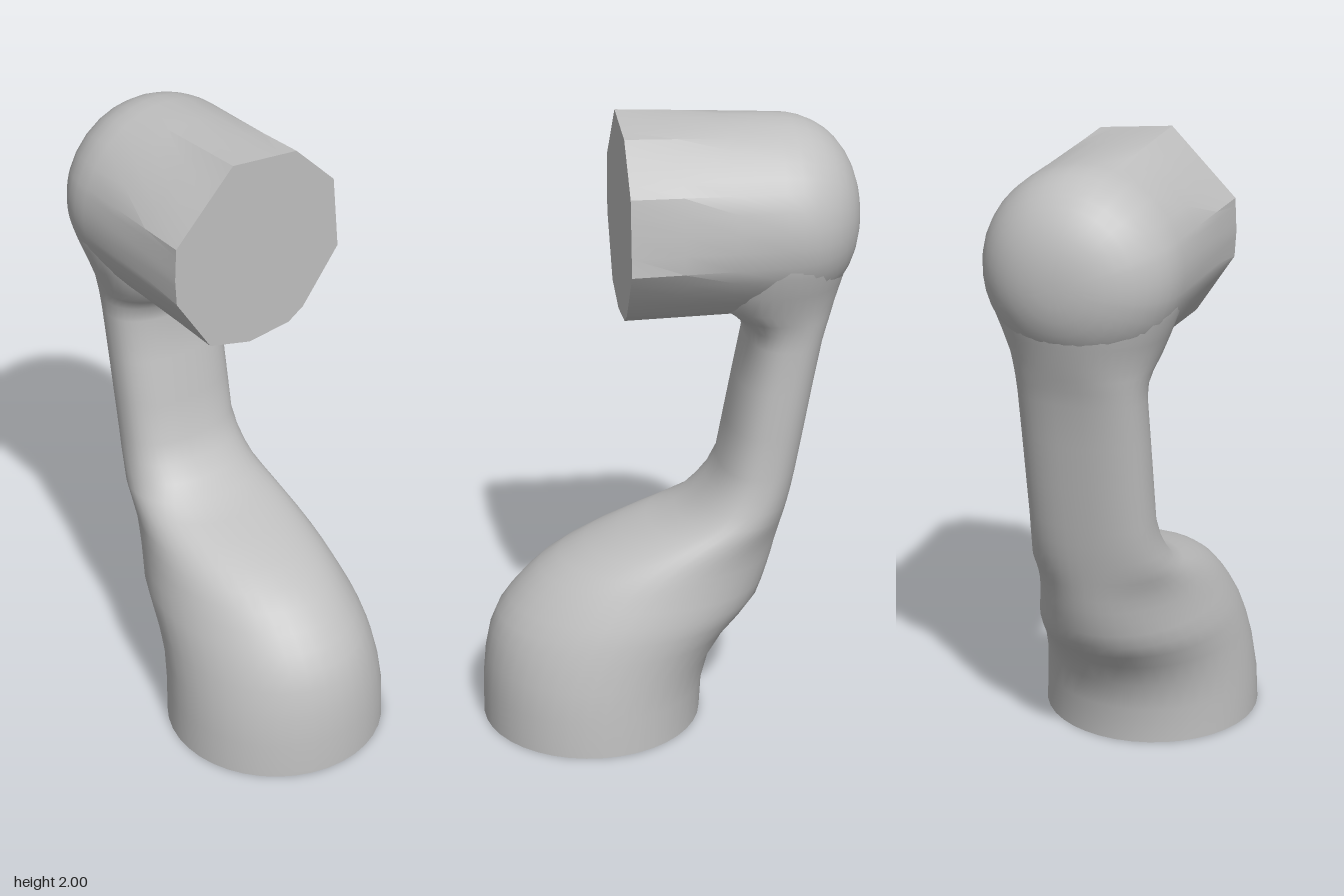
import * as THREE from 'three';
import { toCreasedNormals } from 'three/addons/utils/BufferGeometryUtils.js';

// Skin a list of closed rings (equal point counts) and cap both ends
function loft(rings, crease) {
  const n = rings[0].length, pos = [], idx = [];
  rings.forEach(r => r.forEach(p => pos.push(p.x, p.y, p.z)));
  for (let i = 0; i < rings.length - 1; i++) {
    for (let j = 0; j < n; j++) {
      const k = (j + 1) % n, a = i * n, b = a + n;
      idx.push(a + j, b + j, a + k, b + j, b + k, a + k);
    }
  }
  [0, rings.length - 1].forEach(i => {
    const c = new THREE.Vector3();
    rings[i].forEach(p => c.addScaledVector(p, 1 / n));
    const ci = pos.length / 3;
    pos.push(c.x, c.y, c.z);
    for (let j = 0; j < n; j++) {
      const a = i * n + j, b = i * n + (j + 1) % n;
      if (i === 0) idx.push(ci, a, b); else idx.push(ci, b, a);
    }
  });
  const g = new THREE.BufferGeometry();
  g.setAttribute('position', new THREE.Float32BufferAttribute(pos, 3));
  g.setIndex(idx);
  return toCreasedNormals(g, crease);
}

// Rounded horizontal section: half width, front z, back z, squareness
function section(y, hw, front, back, power) {
  const ring = [], zc = (front + back) / 2, d = (front - back) / 2;
  const bulge = v => Math.sign(v) * Math.pow(Math.abs(v), 2 / power);
  for (let j = 0; j < 40; j++) {
    const a = j / 40 * Math.PI * 2;
    ring.push(new THREE.Vector3(hw * bulge(Math.cos(a)), y, zc + d * bulge(Math.sin(a))));
  }
  return ring;
}

export function createModel() {
  const group = new THREE.Group();
  const grey = new THREE.MeshStandardMaterial({ color: 0xc0c0c0 });
  grey.name = 'plain grey';

  // Foot, leaning neck and flare into the head
  const rows = [
    [0, 0.355, 0.598, -0.11, 2], [0.12, 0.35, 0.597, -0.117, 2],
    [0.22, 0.338, 0.588, -0.145, 2], [0.31, 0.325, 0.57, -0.205, 2],
    [0.37, 0.315, 0.545, -0.262, 2], [0.42, 0.305, 0.51, -0.302, 2],
    [0.47, 0.29, 0.466, -0.322, 2], [0.52, 0.276, 0.41, -0.338, 2],
    [0.56, 0.265, 0.345, -0.349, 2], [0.6, 0.254, 0.26, -0.358, 2],
    [0.64, 0.243, 0.15, -0.367, 2.05], [0.67, 0.234, 0.06, -0.374, 2.1],
    [0.705, 0.225, -0.035, -0.382, 2.15], [0.75, 0.214, -0.09, -0.392, 2.25],
    [0.8, 0.206, -0.135, -0.402, 2.35], [0.865, 0.2, -0.17, -0.414, 2.4],
    [1.0, 0.2, -0.195, -0.438, 2.4], [1.15, 0.2, -0.223, -0.464, 2.4],
    [1.29, 0.2, -0.25, -0.49, 2.4], [1.34, 0.204, -0.24, -0.504, 2.35],
    [1.38, 0.214, -0.2, -0.517, 2.3], [1.42, 0.229, -0.14, -0.53, 2.2],
    [1.49, 0.257, -0.11, -0.552, 2.1], [1.56, 0.284, -0.1, -0.574, 2.05],
    [1.62, 0.297, -0.1, -0.588, 2], [1.7, 0.295, -0.1, -0.588, 2],
  ];
  const body = new THREE.Mesh(loft(rows.map(r => section(...r)), 0.9), grey);
  body.name = 'footAndNeck';
  group.add(body);

  // Head: irregular polygon face easing into a round, domed back
  const face = [
    [0.307, 1.6], [0.285, 1.835], [0.14, 1.975], [-0.095, 2.0], [-0.302, 1.793],
    [-0.307, 1.69], [-0.302, 1.607], [-0.18, 1.42], [-0.03, 1.38], [0.12, 1.395], [0.175, 1.43],
  ];
  const cy = 1.685, outline = [];
  face.forEach(([x, y], i) => {
    const [u, v] = face[(i + 1) % face.length];
    for (let s = 0; s < 4; s++) outline.push([x + (u - x) * s / 4, y + (v - y) * s / 4 - cy]);
  });
  const headRing = (z, round, scale) => outline.map(([x, y]) => {
    const a = Math.atan2(y, x);
    return new THREE.Vector3(
      scale * THREE.MathUtils.lerp(x, 0.308 * Math.cos(a), round),
      cy + scale * THREE.MathUtils.lerp(y, 0.305 * Math.sin(a), round), z);
  });
  const rings = [headRing(0.14, 0, 1), headRing(-0.02, 0.33, 1), headRing(-0.18, 0.67, 1), headRing(-0.33, 1, 1)];
  for (let i = 1; i <= 10; i++) {
    const t = i / 10 * Math.PI / 2;
    rings.push(headRing(-0.33 - 0.268 * Math.pow(Math.sin(t), 0.9), 1, Math.max(0.01, Math.pow(Math.cos(t), 0.9))));
  }
  const head = new THREE.Mesh(loft(rings, 0.5), grey);
  head.name = 'head';
  group.add(head);

  return group;
}
